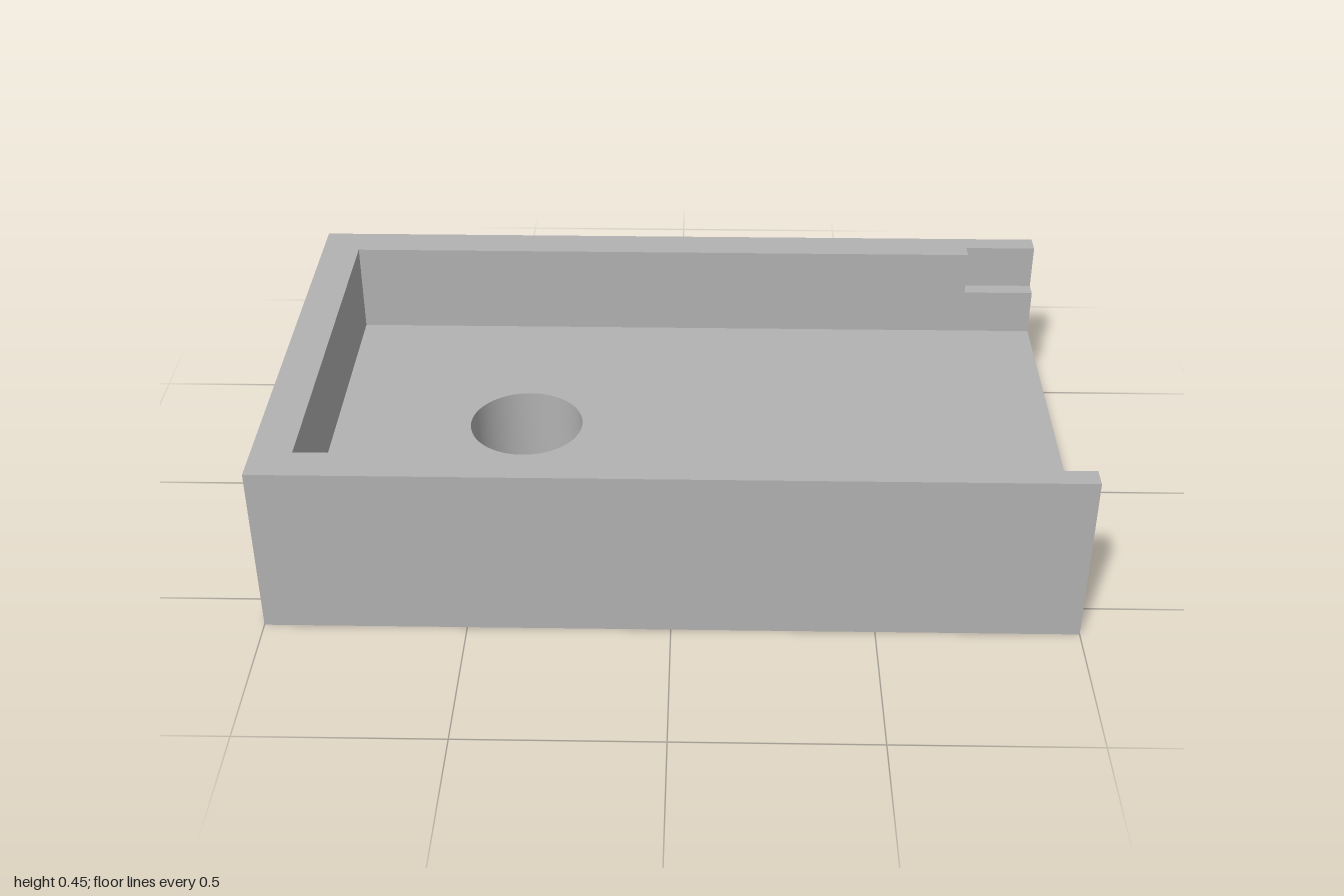
import * as THREE from 'three';
import { toCreasedNormals } from 'three/addons/utils/BufferGeometryUtils.js';

const LENGTH = 1, WIDTH = 0.6;          // half extents
const FLOOR = 0.205, LEDGE = 0.33, TOP = 0.45;
const INNER_X = -0.9, INNER_Z = 0.505;  // pocket walls
const NOTCH_X = 0.81, NOTCH_Z = 0.547;  // recesses at the open end

export function createModel() {
  const model = new THREE.Group();
  model.name = 'openTray';
  const grey = new THREE.MeshStandardMaterial({ color: 0xb2b2b2 });
  grey.name = 'plain grey';

  // Extrudes a plan outline upwards between two heights
  function layer(name, shape, y0, y1) {
    const geometry = new THREE.ExtrudeGeometry(shape, {
      depth: y1 - y0, bevelEnabled: false, curveSegments: 48,
    });
    geometry.rotateX(-Math.PI / 2);
    const mesh = new THREE.Mesh(toCreasedNormals(geometry, Math.PI / 6), grey);
    mesh.name = name;
    mesh.position.y = y0;
    model.add(mesh);
  }

  // Outline of the three walls; half lists the inner edge from the open end inwards
  function wallShape(half) {
    const mirrored = half.map(([x, z]) => [x, -z]).reverse();
    const points = [[LENGTH, WIDTH], [-LENGTH, WIDTH], [-LENGTH, -WIDTH], [LENGTH, -WIDTH],
      ...mirrored.reverse(), ...half.slice().reverse()];
    return new THREE.Shape(points.map(([x, z]) => new THREE.Vector2(x, z)));
  }

  // Thick floor with a round through hole
  const base = new THREE.Shape([
    new THREE.Vector2(-LENGTH, -WIDTH), new THREE.Vector2(LENGTH, -WIDTH),
    new THREE.Vector2(LENGTH, WIDTH), new THREE.Vector2(-LENGTH, WIDTH),
  ]);
  base.holes.push(new THREE.Path().absarc(-0.395, 0, 0.148, 0, Math.PI * 2, true));
  layer('floor', base, 0, FLOOR);

  // Walls up to the ledges, then the notched upper walls
  layer('lowerWalls', wallShape([[LENGTH, INNER_Z], [INNER_X, INNER_Z]]), FLOOR, LEDGE);
  layer('upperWalls', wallShape([
    [LENGTH, NOTCH_Z], [NOTCH_X, NOTCH_Z], [NOTCH_X, INNER_Z], [INNER_X, INNER_Z],
  ]), LEDGE, TOP);

  return model;
}
